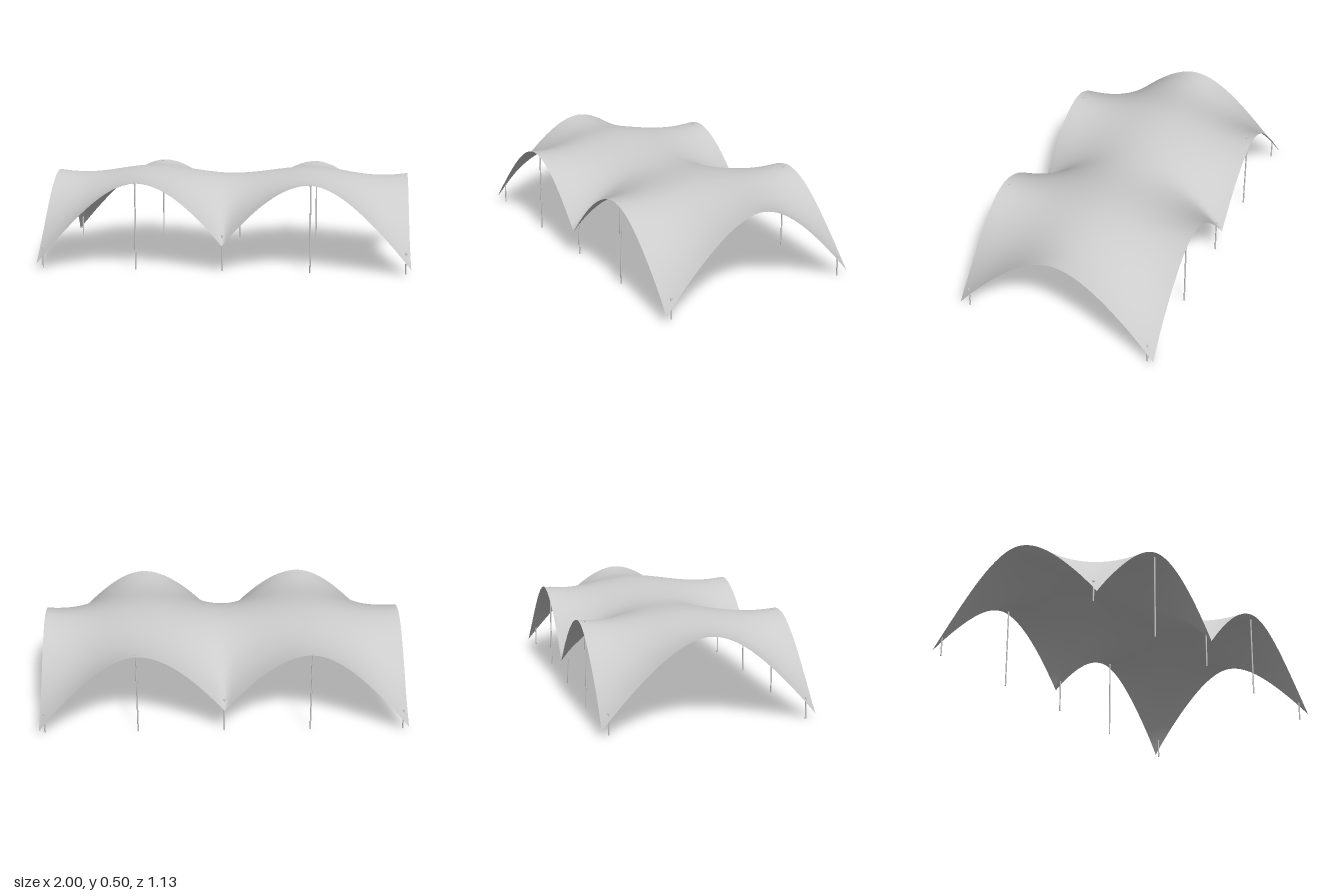
import * as THREE from 'three';

const HALF_X = 1, HALF_Z = 0.565, PEAK_X = 0.46;
const dip = (d, period) => 0.038 * (1 - Math.cos(Math.PI * d / period)) / 2;

// Height of the stretched fabric above the ground at plan position (x, z)
function fabricHeight(x, z) {
  const ax = Math.abs(x), az = Math.abs(z);
  const v = Math.min(az / HALF_Z, 1);
  // gently rolling crown with two high points
  const crown = 0.498 - dip(ax - PEAK_X, ax < PEAK_X ? PEAK_X : 0.39) - dip(az, 0.42);
  // four corners pulled down to the ground
  const outer = Math.max(0, (ax - PEAK_X) / (HALF_X - PEAK_X));
  const corner = 0.414 * Math.pow(outer, 1.85) * Math.pow(v, 1.85);
  // middle of each long edge pulled down, with the crease fading inwards
  const soft = 0.14 * (1 - v);
  const inner = Math.max(0, 1 - Math.hypot(ax, soft) / PEAK_X);
  const middle = 0.292 * Math.pow(inner, 1.9) * Math.pow(v, 2.1);
  return crown - corner - middle;
}

// Double-curved canopy sheet with slightly drawn-in edges
function makeCanopy(material) {
  const geometry = new THREE.PlaneGeometry(2 * HALF_X, 2 * HALF_Z, 96, 56);
  geometry.rotateX(-Math.PI / 2);
  const p = geometry.attributes.position;
  for (let i = 0; i < p.count; i++) {
    const x = p.getX(i), z = p.getZ(i);
    const u = Math.abs(x) / HALF_X, v = Math.abs(z) / HALF_Z;
    const pullX = 1 - 0.009 * (1 - v ** 6);
    const pullZ = 1 - 0.014 * (1 - u ** 10);
    p.setXYZ(i, x * pullX, fabricHeight(x, z), z * pullZ);
  }
  geometry.computeVertexNormals();
  const canopy = new THREE.Mesh(geometry, material);
  canopy.name = 'canopy';
  return canopy;
}

// Slim pole standing on the ground, with a small cap through the fabric
function makePole(name, x, z, material) {
  const pole = new THREE.Group();
  pole.name = name;
  const top = fabricHeight(x, z);
  const shaft = new THREE.Mesh(new THREE.CylinderGeometry(0.004, 0.004, top, 12), material);
  shaft.name = 'shaft';
  shaft.position.y = top / 2;
  const cap = new THREE.Mesh(new THREE.CylinderGeometry(0.005, 0.006, 0.008, 12), material);
  cap.name = 'cap';
  cap.position.y = top;
  pole.add(shaft, cap);
  pole.position.set(x, 0, z);
  return pole;
}

export function createModel() {
  const group = new THREE.Group();
  group.name = 'stretchTent';
  const fabric = new THREE.MeshStandardMaterial({ color: 0xcccccc, side: THREE.DoubleSide });
  const metal = new THREE.MeshStandardMaterial({ color: 0xcccccc });
  group.add(makeCanopy(fabric));

  // poles along the front and back edges
  for (const z of [0.522, -0.522]) {
    const end = z > 0 ? 'front' : 'back';
    for (const side of [1, -1]) {
      const hand = side > 0 ? 'Left' : 'Right';
      group.add(makePole(`${end}${hand}CornerPole`, side * 0.973, z, metal));
      group.add(makePole(`${end}${hand}TallPole`, side * 0.468, z, metal));
    }
    group.add(makePole(`${end}MiddlePole`, 0, z, metal));
  }
  return group;
}
